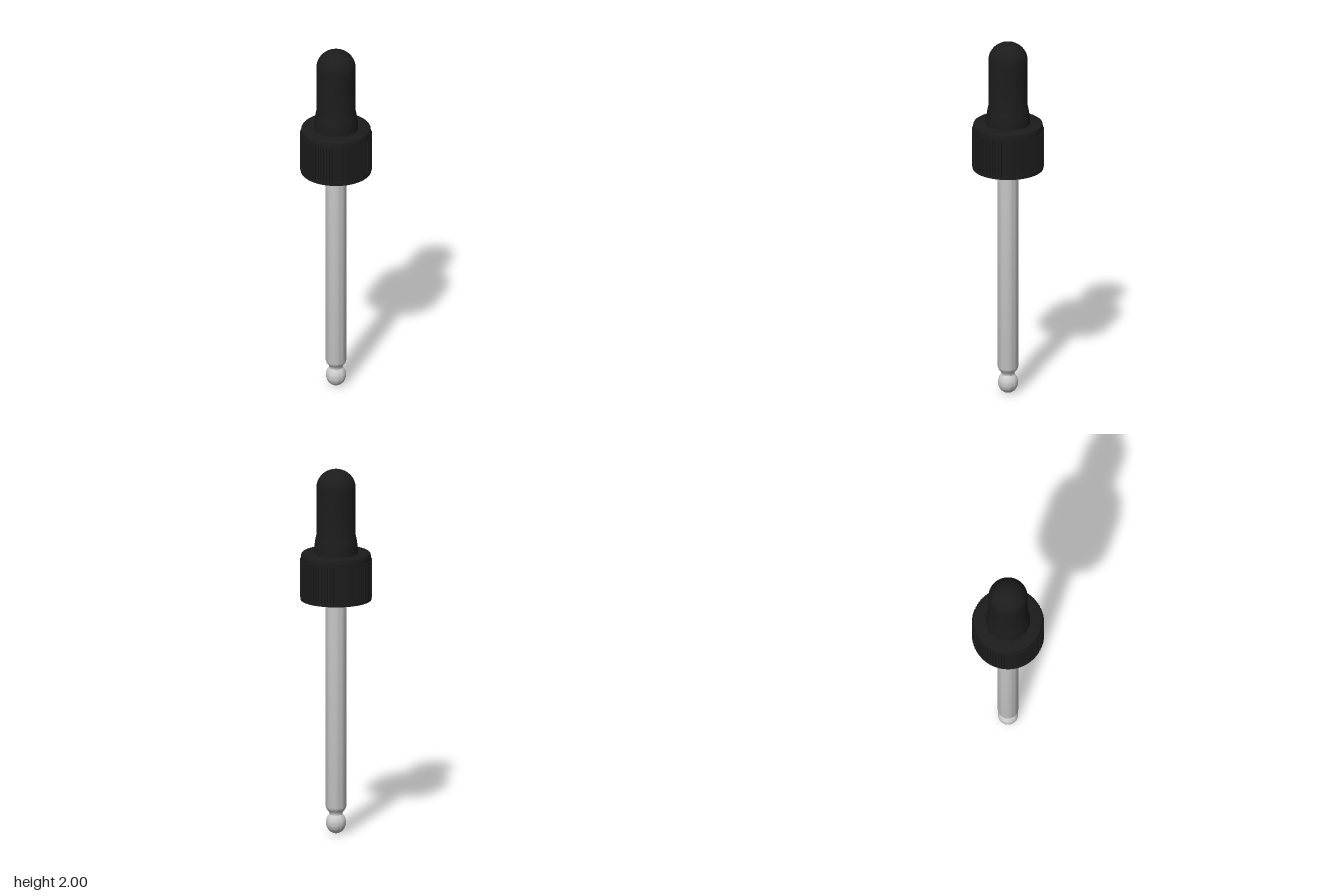
import * as THREE from 'three';
import { toCreasedNormals } from 'three/addons/utils/BufferGeometryUtils.js';

const SEGMENTS = 72;

// Points on an elliptical arc, angles in degrees from the +x axis
function arc(cx, cy, rx, ry, from, to, steps) {
  return Array.from({ length: steps + 1 }, (_, i) => {
    const a = THREE.MathUtils.degToRad(from + ((to - from) * i) / steps);
    return [Math.max(0, cx + rx * Math.cos(a)), cy + ry * Math.sin(a)];
  });
}

// Revolved part; the profile runs upwards on outer faces, downwards on inner ones
function turned(name, profile, material) {
  const points = profile.map(([r, y]) => new THREE.Vector2(r, y));
  const geometry = toCreasedNormals(new THREE.LatheGeometry(points, SEGMENTS), 0.6);
  const mesh = new THREE.Mesh(geometry, material);
  mesh.name = name;
  return mesh;
}

export function createModel() {
  const model = new THREE.Group();
  model.name = 'dropper';
  const rubber = new THREE.MeshStandardMaterial({ color: 0x1c1c1c });
  const plastic = new THREE.MeshStandardMaterial({ color: 0x1c1c1c });
  const glass = new THREE.MeshStandardMaterial({ color: 0xcccccc, side: THREE.DoubleSide });

  // Squeeze bulb with a flared foot and a domed top
  model.add(turned('bulb', [
    [0.119, 1.53], [0.119, 1.545], [0.117, 1.57], [0.113, 1.6], [0.109, 1.625], [0.105, 1.64],
    [0.105, 1.8], ...arc(0, 1.9, 0.105, 0.1, 0, 90, 14),
  ], rubber));

  // Screw cap: a hollow shell, open below
  const cap = new THREE.Group();
  cap.name = 'cap';
  cap.add(turned('capShell', [
    [0.168, 1.285], [0.189, 1.285], [0.189, 1.304], [0.186, 1.308], [0.186, 1.51],
    ...arc(0.176, 1.532, 0.01, 0.01, 0, 90, 5),
    [0.05, 1.542], [0.05, 1.5], [0.162, 1.5], [0.162, 1.31], [0.168, 1.285],
  ], plastic));

  // Grip ribs around the cap
  const ribCount = 72;
  const ribGeometry = new THREE.BoxGeometry(0.008, 0.205, 0.012);
  const ribs = new THREE.InstancedMesh(ribGeometry, plastic, ribCount);
  ribs.name = 'gripRibs';
  const place = new THREE.Object3D();
  for (let i = 0; i < ribCount; i++) {
    const a = (i / ribCount) * Math.PI * 2;
    place.position.set(Math.sin(a) * 0.187, 1.404, Math.cos(a) * 0.187);
    place.rotation.y = a;
    place.updateMatrix();
    ribs.setMatrixAt(i, place.matrix);
  }
  cap.add(ribs);
  model.add(cap);

  // Glass pipette: bored rounded tip, narrow neck, straight tube
  model.add(turned('pipette', [
    [0.012, 0.1], [0.012, 0.006],
    ...arc(0, 0.06, 0.054, 0.06, -77, 48, 18),
    [0.036, 0.112], [0.038, 0.118], [0.044, 0.126], [0.051, 0.135], [0.055, 0.147],
    [0.055, 1.51],
  ], glass));

  return model;
}
